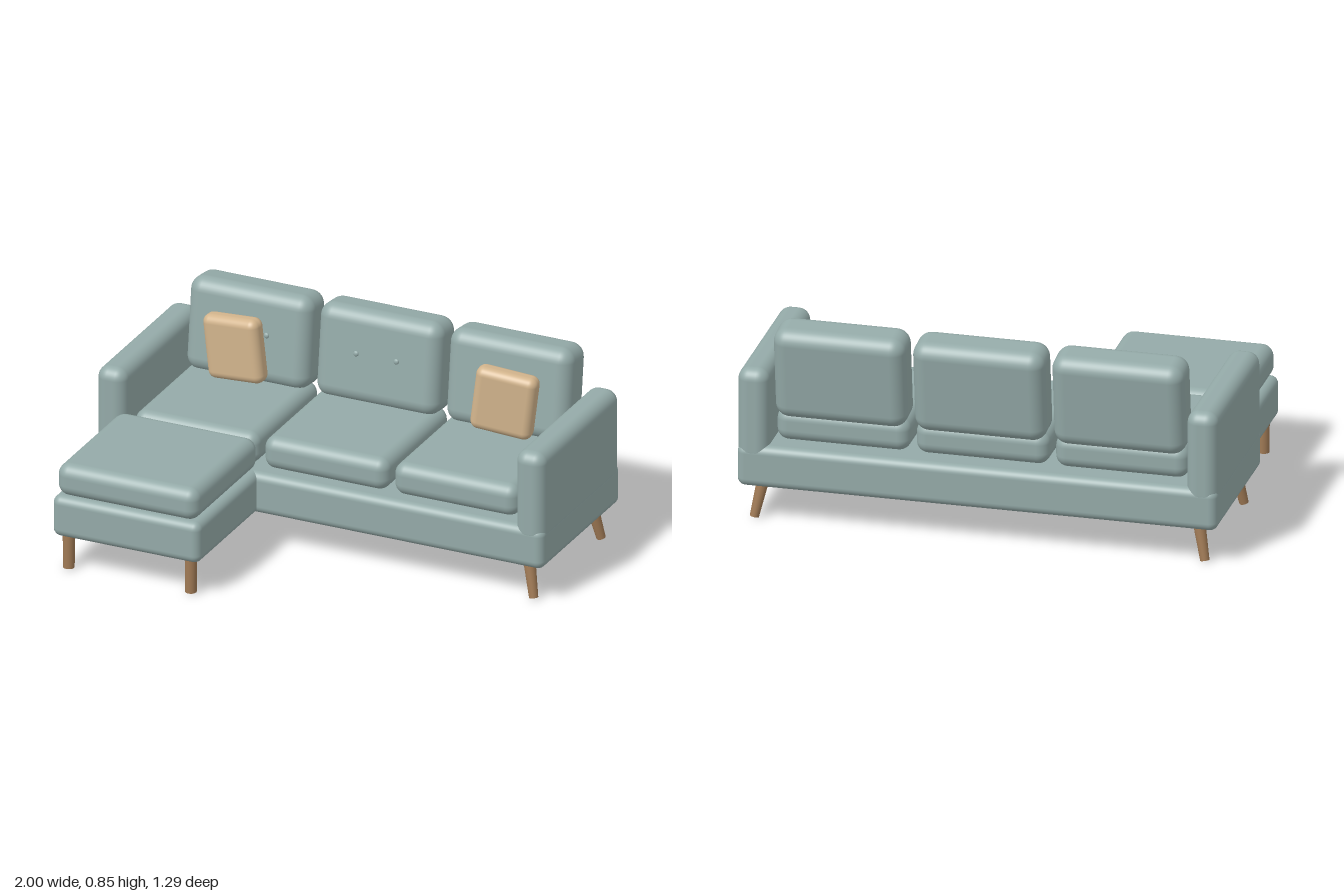
import * as THREE from 'three';
import { RoundedBoxGeometry } from 'three/addons/geometries/RoundedBoxGeometry.js';

const material = (name, color) => {
  const m = new THREE.MeshStandardMaterial({ color });
  m.name = name;
  return m;
};

export function createModel() {
  const sofa = new THREE.Group();
  sofa.name = 'cornerSofa';
  const fabric = material('sageFabric', 0x94aaa8);
  const tan = material('tanPillow', 0xd2b48c);
  const wood = material('legWood', 0xa07a55);

  const add = (parent, name, geometry, mat, x, y, z) => {
    const mesh = new THREE.Mesh(geometry, mat);
    mesh.name = name;
    mesh.position.set(x, y, z);
    parent.add(mesh);
    return mesh;
  };

  // Rounded block given by its [min, max] on each axis
  const block = (name, [x0, x1], [y0, y1], [z0, z1], r) =>
    add(sofa, name, new RoundedBoxGeometry(x1 - x0, y1 - y0, z1 - z0, 5, r), fabric,
      (x0 + x1) / 2, (y0 + y1) / 2, (z0 + z1) / 2);

  // Main frame and the chaise on the right
  block('base', [-1, 1], [0.15, 0.33], [-0.64, 0.1], 0.035);
  block('chaiseBase', [-0.935, -0.275], [0.15, 0.33], [-0.05, 0.645], 0.035);
  block('chaiseCushion', [-0.92, -0.29], [0.33, 0.47], [0.04, 0.64], 0.05);

  // Arms
  block('leftArm', [0.87, 1], [0.255, 0.66], [-0.64, 0.1], 0.05);
  block('rightArm', [-1, -0.87], [0.255, 0.66], [-0.64, 0.1], 0.05);

  // Three seats with leaning, buttoned back cushions
  for (const x of [-0.58, 0, 0.58]) {
    block('seatCushion', [x - 0.278, x + 0.278], [0.33, 0.47], [-0.56, 0.05], 0.05);
    const back = new THREE.Group();
    back.name = 'backCushion';
    back.position.set(x, 0.648, -0.532);
    back.rotation.x = -0.12;
    sofa.add(back);
    add(back, 'backPad', new RoundedBoxGeometry(0.55, 0.4, 0.185, 5, 0.06), fabric, 0, 0, 0);
    for (const side of [-1, 1]) {
      add(back, 'button', new THREE.SphereGeometry(0.012, 12, 8), fabric,
        side * 0.09, 0.016, 0.0925).scale.z = 0.6;
    }
  }

  // Throw pillows, mirrored left and right
  for (const side of [-1, 1]) {
    const pillow = add(sofa, 'throwPillow', new RoundedBoxGeometry(0.262, 0.278, 0.085, 5, 0.035), tan,
      side * 0.602, 0.623, -0.387);
    pillow.rotation.set(0, side * 0.13, -side * 0.12);
  }

  // Leg running from its top point down to its foot
  const leg = (name, top, foot, rTop, rFoot) => {
    const a = new THREE.Vector3(...top);
    const b = new THREE.Vector3(...foot);
    const dir = a.clone().sub(b);
    const mid = a.clone().add(b).multiplyScalar(0.5);
    const mesh = add(sofa, name, new THREE.CylinderGeometry(rTop, rFoot, dir.length(), 20), wood,
      mid.x, mid.y, mid.z);
    mesh.quaternion.setFromUnitVectors(new THREE.Vector3(0, 1, 0), dir.normalize());
  };

  // Splayed legs under the frame, straight ones under the chaise
  for (const side of [-1, 1]) {
    leg('frontLeg', [side * 0.905, 0.17, 0.025], [side * 0.938, 0.004, 0.05], 0.026, 0.019);
    leg('backLeg', [side * 0.905, 0.17, -0.555], [side * 0.938, 0.004, -0.582], 0.026, 0.019);
  }
  for (const x of [-0.88, -0.335]) {
    leg('chaiseLeg', [x, 0.17, 0.592], [x, 0.004, 0.592], 0.025, 0.024);
  }

  return sofa;
}
